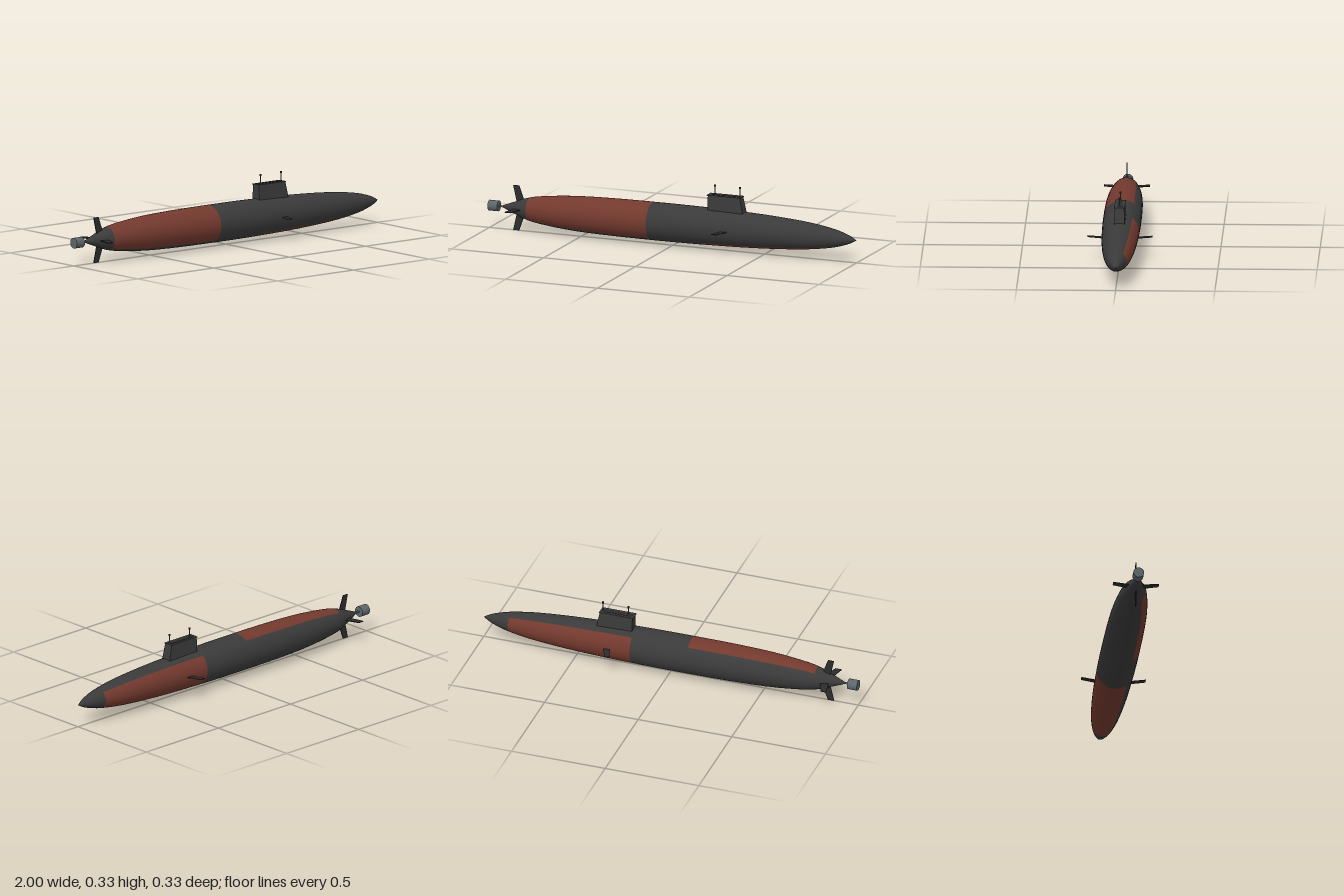
import * as THREE from 'three';

const AXIS_Y = 0.116; // height of the hull centreline

function material(name, color) {
  const m = new THREE.MeshStandardMaterial({ color });
  m.name = name;
  return m;
}

export function createModel() {
  const model = new THREE.Group();
  model.name = 'submarine';
  const hullGrey = material('hull grey', 0x3a3a3a);
  const red = material('rust red', 0x73392e);
  const finGrey = material('dark fin grey', 0x2c2c2c);
  const metal = material('propulsor metal', 0x5c676b);

  const add = (name, geometry, mat, x = 0, y = 0, z = 0) => {
    const mesh = new THREE.Mesh(geometry, mat);
    mesh.name = name;
    mesh.position.set(x, y, z);
    model.add(mesh);
    return mesh;
  };

  // Hull: a revolved profile of [station along x, radius]
  const stations = [
    [-0.93, 0.004], [-0.86, 0.031], [-0.78, 0.059], [-0.68, 0.075], [-0.52, 0.089],
    [-0.32, 0.095], [-0.11, 0.0965], [0.04, 0.0963], [0.19, 0.0945], [0.4, 0.0895],
    [0.58, 0.081], [0.74, 0.068], [0.855, 0.051], [0.92, 0.035], [0.965, 0.019], [1, 0],
  ];
  const steps = 3;
  const profile = new THREE.SplineCurve(stations.map(([x, r]) => new THREE.Vector2(r, x)))
    .getPoints(steps * (stations.length - 1));
  profile.forEach((p) => { p.x = Math.max(p.x, 0); });
  const sides = 48;
  const seam = THREE.MathUtils.degToRad(52);
  const hull = new THREE.LatheGeometry(profile, sides, seam, Math.PI * 2);
  hull.rotateZ(-Math.PI / 2);

  // Red panels: the upper front half aft, the lower back half forward
  const index = hull.index.array;
  const rows = profile.length - 1;
  const grey = [], painted = [];
  for (let i = 0; i < sides; i++) {
    for (let j = 0; j < rows; j++) {
      const x = (profile[j].y + profile[j + 1].y) / 2;
      const isRed = i < sides / 2 ? x > 0.19 && x < 0.855 : x > -0.78 && x < -0.11;
      const at = (i * rows + j) * 6;
      (isRed ? painted : grey).push(...index.slice(at, at + 6));
    }
  }
  hull.setIndex([...grey, ...painted]);
  hull.clearGroups();
  hull.addGroup(0, grey.length, 0);
  hull.addGroup(grey.length, painted.length, 1);
  add('hull', hull, [hullGrey, red], 0, AXIS_Y, 0);

  // Sail: a box tapered towards the top
  const sail = new THREE.BoxGeometry(1, 1, 1);
  const p = sail.attributes.position;
  for (let i = 0; i < p.count; i++) {
    const top = p.getY(i) > 0;
    const front = p.getX(i) > 0;
    p.setXYZ(i, front ? (top ? 0.373 : 0.392) : 0.199, top ? 0.281 : 0.19,
      Math.sign(p.getZ(i)) * (top ? 0.0235 : 0.0275));
  }
  sail.computeVertexNormals();
  add('sail', sail, hullGrey);
  add('sailCap', new THREE.BoxGeometry(0.181, 0.004, 0.053), hullGrey, 0.285, 0.282, 0);
  add('sailDeck', new THREE.BoxGeometry(0.155, 0.002, 0.026), finGrey, 0.285, 0.2845, 0);

  // Masts with small heads
  for (const [name, x] of [['aftMast', 0.228], ['foreMast', 0.364]]) {
    add(name, new THREE.CylinderGeometry(0.0025, 0.0025, 0.05, 10), metal, x, 0.305, 0);
    add(name + 'Head', new THREE.CylinderGeometry(0.005, 0.005, 0.009, 12), finGrey, x, 0.329, 0);
  }

  // Fins: thin swept plates, turned about the hull axis
  const fin = (name, outline, thickness, angle) => {
    const shape = new THREE.Shape(outline.map(([x, y]) => new THREE.Vector2(x, y)));
    const geometry = new THREE.ExtrudeGeometry(shape, { depth: thickness, bevelEnabled: false });
    geometry.translate(0, 0, -thickness / 2);
    add(name, geometry, finGrey, 0, AXIS_Y, 0).rotation.x = angle;
  };
  const sternFin = [[-0.847, 0.015], [-0.801, 0.015], [-0.838, 0.116], [-0.87, 0.116]];
  const bowFin = [[0.299, 0.08], [0.332, 0.08], [0.302, 0.163], [0.273, 0.163]];
  ['upperRudder', 'frontSternPlane', 'lowerRudder', 'backSternPlane'].forEach((name, k) =>
    fin(name, sternFin, 0.004, k * Math.PI / 2));
  fin('frontBowPlane', bowFin, 0.003, Math.PI / 2);
  fin('backBowPlane', bowFin, 0.003, -Math.PI / 2);

  // Propulsor on its shaft
  const shaft = new THREE.CylinderGeometry(0.005, 0.005, 0.05, 12).rotateZ(Math.PI / 2);
  add('propellerShaft', shaft, metal, -0.935, AXIS_Y, 0);
  const drum = new THREE.CylinderGeometry(0.027, 0.027, 0.052, 24).rotateZ(Math.PI / 2);
  add('propulsor', drum, metal, -0.974, AXIS_Y, 0);

  return model;
}
